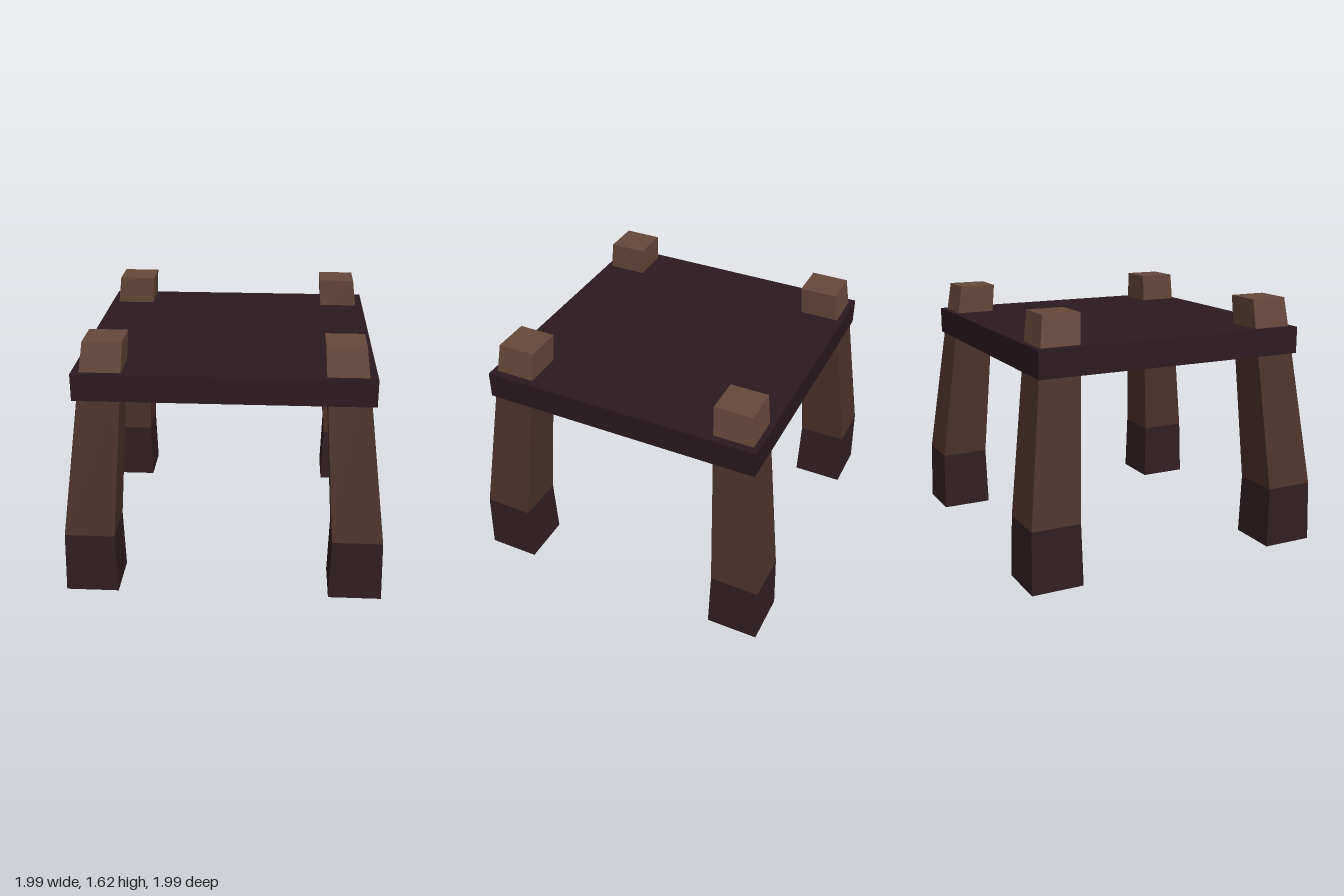
import * as THREE from 'three';

const mat = (color) => new THREE.MeshStandardMaterial({ color, flatShading: true, side: THREE.DoubleSide });

// Box without its bottom, and optionally without its top
function openBox(w, h, d, keepTop) {
  const g = new THREE.BoxGeometry(w, h, d);
  const i = Array.from(g.index.array);
  g.setIndex([...i.slice(0, keepTop ? 18 : 12), ...i.slice(24)]);
  g.clearGroups();
  return g;
}

// Square leg section levels: height, inner edge, outer edge
const levels = [
  { y: 0, inner: 0.665, outer: 0.997 },
  { y: 0.39, inner: 0.675, outer: 0.988 },
  { y: 1.35, inner: 0.615, outer: 0.871 },
  { y: 1.615, inner: 0.598, outer: 0.837 },
];

// Tapered tube between two levels, placed in the corner given by the signs
function legPiece(lo, hi, sx, sz, capped) {
  const g = openBox(1, 1, 1, capped);
  const p = g.attributes.position;
  for (let i = 0; i < p.count; i++) {
    const l = p.getY(i) > 0 ? hi : lo;
    const x = p.getX(i) * sx > 0 ? l.outer : l.inner;
    const z = p.getZ(i) * sz > 0 ? l.outer : l.inner;
    p.setXYZ(i, x * sx, l.y, z * sz);
  }
  g.computeVertexNormals();
  return g;
}

export function createModel() {
  const model = new THREE.Group();
  model.name = 'table';

  // Table top, hollow underneath
  const top = new THREE.Mesh(openBox(1.82, 0.17, 1.79, true), mat(0x2b1a20));
  top.name = 'tableTop';
  top.position.y = 1.345;
  model.add(top);

  // Four splayed legs, darker towards the ground, ending in posts above the top
  const names = ['foot', 'shaft', 'post'];
  const mats = [mat(0x301e22), mat(0x4d322c), mat(0x68483b)];
  for (const sx of [-1, 1]) {
    for (const sz of [-1, 1]) {
      const leg = new THREE.Group();
      leg.name = (sz > 0 ? 'front' : 'back') + (sx > 0 ? 'Left' : 'Right') + 'Leg';
      names.forEach((name, i) => {
        const piece = new THREE.Mesh(legPiece(levels[i], levels[i + 1], sx, sz, i === 2), mats[i]);
        piece.name = name;
        leg.add(piece);
      });
      model.add(leg);
    }
  }
  return model;
}
